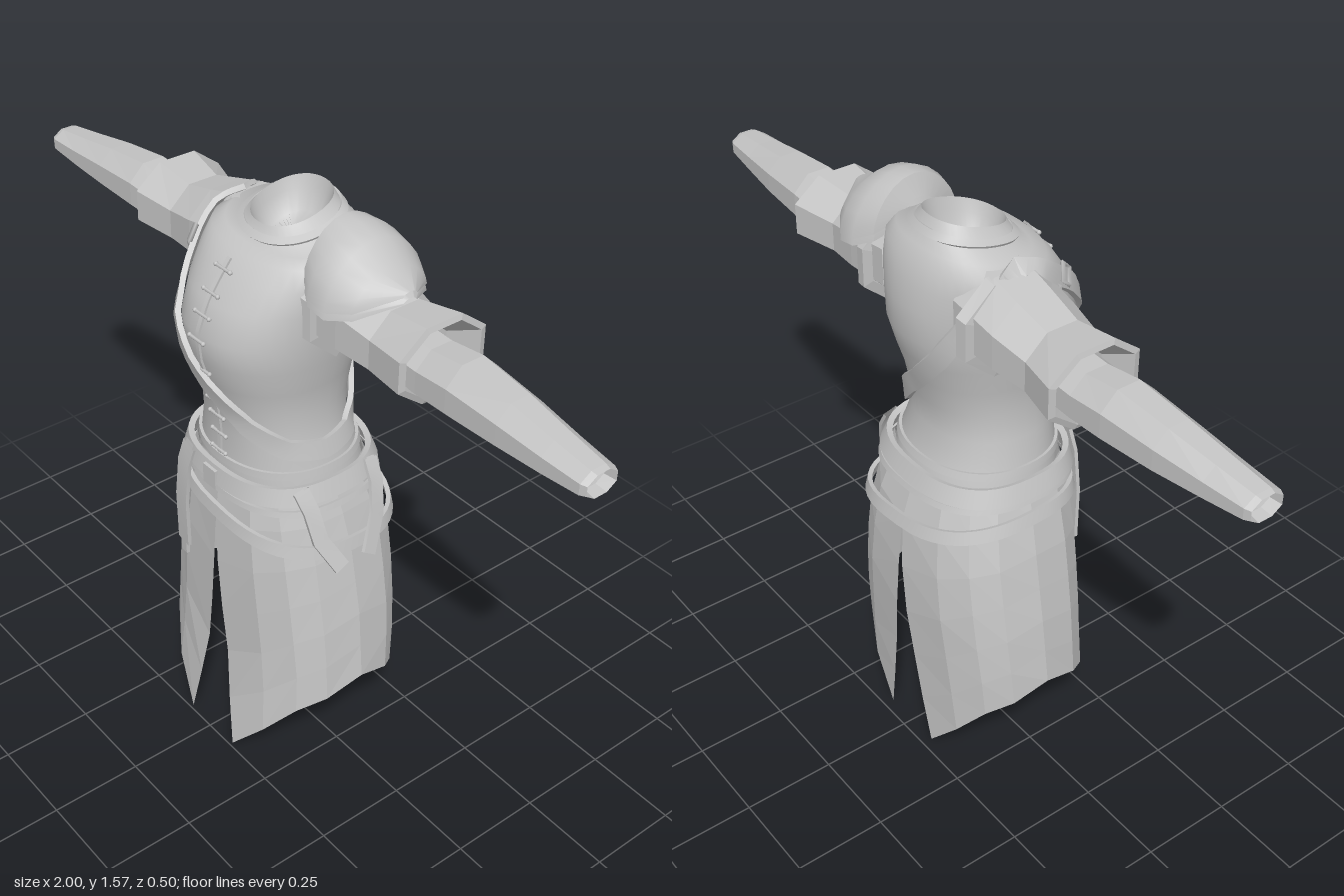
import * as THREE from 'three';
import { toCreasedNormals } from 'three/addons/utils/BufferGeometryUtils.js';

const grey = new THREE.MeshStandardMaterial({ color: 0xc4c4c4, side: THREE.DoubleSide });
grey.name = 'grey cloth';

const range = (n, a = 0, b = 1) => Array.from({ length: n + 1 }, (_, i) => a + (b - a) * i / n);

// Piecewise linear lookup in rows of [key, ...values]
function lookup(rows, k) {
  let i = 0;
  while (i < rows.length - 2 && k > rows[i + 1][0]) i++;
  const t = THREE.MathUtils.clamp((k - rows[i][0]) / (rows[i + 1][0] - rows[i][0]), 0, 1);
  return rows[i].slice(1).map((v, j) => v + (rows[i + 1][j + 1] - v) * t);
}

// Grid surface through point(u, v); crease is the smoothing angle, 0 for flat facets
function sheet(name, us, vs, point, crease = 0) {
  const pos = [], idx = [], n = vs.length;
  us.forEach(u => vs.forEach(v => pos.push(...point(u, v).toArray())));
  for (let i = 0; i < us.length - 1; i++) for (let j = 0; j < n - 1; j++) {
    const a = i * n + j;
    idx.push(a, a + 1, a + n, a + 1, a + n + 1, a + n);
  }
  const g = new THREE.BufferGeometry();
  g.setAttribute('position', new THREE.Float32BufferAttribute(pos, 3));
  g.setIndex(idx);
  return part(name, crease ? toCreasedNormals(g, crease) : flat(g));
}
function flat(g) {
  const f = g.toNonIndexed();
  f.computeVertexNormals();
  return f;
}
function part(name, geometry) {
  const m = new THREE.Mesh(geometry, grey);
  m.name = name;
  return m;
}

// Body sections: height, half width, front z, back z
const TORSO = [
  [0.86, 0.21, 0.19, -0.19], [0.92, 0.2, 0.188, -0.175], [1.0, 0.18, 0.185, -0.145],
  [1.08, 0.172, 0.195, -0.155], [1.15, 0.18, 0.216, -0.17], [1.22, 0.193, 0.237, -0.193],
  [1.29, 0.2, 0.244, -0.213], [1.37, 0.207, 0.213, -0.212], [1.43, 0.215, 0.17, -0.203],
  [1.48, 0.212, 0.13, -0.188], [1.51, 0.18, 0.1, -0.168], [1.535, 0.12, 0.08, -0.148],
  [1.575, 0.088, 0.065, -0.13]];
const SKIRT = [
  [0, 0.325, 0.245, -0.225], [0.3, 0.33, 0.212, -0.235], [0.5, 0.307, 0.213, -0.245],
  [0.72, 0.265, 0.212, -0.238], [0.84, 0.228, 0.198, -0.2], [0.9, 0.205, 0.188, -0.178]];

// Superellipse section; angle 0 is the front, +90 degrees the left side
function around(rows, n, th, y) {
  const [a, f, b] = lookup(rows, y), c = (f + b) / 2, d = (f - b) / 2;
  const p = v => Math.sign(v) * Math.abs(v) ** (2 / n);
  return new THREE.Vector3(a * p(Math.sin(th)), y, c + d * p(Math.cos(th)));
}
function torso(th, y) {
  const p = around(TORSO, 2.2, th, y);
  p.y -= (p.z + 0.13) * 0.25 * THREE.MathUtils.smoothstep(y, 1.46, 1.57); // collar dips in front
  return p;
}
const hips = (th, y) => around(SKIRT, 2.6, th, y);
function normalOf(surf, th, y) {
  const e = 0.02;
  const du = surf(th + e, y).sub(surf(th - e, y)), dv = surf(th, y + e).sub(surf(th, y - e));
  return du.cross(dv).normalize();
}

// Rectangular strap swept through points with outward normals
function strap(name, pts, normals, width, thick, closed = false) {
  const last = pts.length - 1;
  const corners = [[-1, 0], [-1, 1], [1, 1], [1, 0], [-1, 0]];
  const frames = pts.map((p, i) => {
    const next = pts[closed && i === last ? 1 : Math.min(i + 1, last)];
    const prev = pts[closed && i === 0 ? last - 1 : Math.max(i - 1, 0)];
    return next.clone().sub(prev).cross(normals[i]).normalize();
  });
  return sheet(name, range(last, 0, last), corners, (i, [s, h]) =>
    pts[i].clone().addScaledVector(frames[i], s * width / 2).addScaledVector(normals[i], h * thick), 0.6);
}
function loop(name, surf, height, width, thick, lift, n = 48) {
  const ths = range(n, -Math.PI, Math.PI);
  const ns = ths.map(t => normalOf(surf, t, height(t)));
  const pts = ths.map((t, i) => surf(t, height(t)).addScaledVector(ns[i], lift));
  return strap(name, pts, ns, width, thick, true);
}

// Eight-sided tube along x: rows of x, centre y, radius y, centre z, radius z
const limb = (name, rows) => sheet(name, rows, range(8, Math.PI / 8, -Math.PI * 15 / 8),
  ([x, cy, ry, cz, rz], t) => new THREE.Vector3(x, cy + Math.sin(t) * ry * 1.06, cz + Math.cos(t) * rz * 1.06));

function skirtPanel(name) {
  const hem = [[0, 0.01], [0.13, 0.12], [0.26, 0.22], [0.38, 0.262], [0.5, 0.3]];
  return sheet(name, [0, 0.13, 0.26, 0.38, 0.5, 0.62, 0.74, 0.87, 1], range(6), (s, v) => {
    const y = THREE.MathUtils.lerp(0.89, lookup(hem, Math.min(s, 1 - s))[0], v);
    const gap = 0.092 * THREE.MathUtils.clamp((0.75 - y) / 0.74, 0, 1) ** 1.6;
    const th0 = Math.asin((gap / lookup(SKIRT, y)[0]) ** 1.3);
    return hips(th0 + s * (Math.PI - 2 * th0), y);
  });
}

export function createModel() {
  const model = new THREE.Group();
  model.name = 'leather outfit';
  const add = (...m) => model.add(...m);

  // Bodice, collar and the closed lining inside the neck
  const heights = TORSO.map(r => r[0]), circle = range(40, -Math.PI, Math.PI);
  add(sheet('bodice', heights, circle, (y, t) => torso(t, y), 1));
  add(sheet('neckLining', [[0, 0], [0.1, 0.03], [0.35, 0.08], [1, 0.1]], circle, ([shrink, drop], t) => {
    const p = torso(t, 1.575);
    return new THREE.Vector3(p.x * (1 - shrink), p.y - drop, THREE.MathUtils.lerp(p.z, -0.035, shrink));
  }, 1));
  add(loop('collarTrim', torso, () => 1.54, 0.02, 0.007, 0));
  add(loop('bodiceHem', torso, () => 0.92, 0.02, 0.008, 0));

  // Front lacing
  const seam = range(20, 0.93, 1.46);
  add(strap('lacingPlacket', seam.map(y => torso(0, y)), seam.map(y => normalOf(torso, 0, y)), 0.012, 0.006));
  for (const y of [0.94, 0.99, 1.045, 1.09, 1.19, 1.28, 1.34, 1.39, 1.44]) {
    const lace = part('lace', new THREE.CylinderGeometry(0.0045, 0.0045, 0.054, 6));
    lace.position.copy(torso(0, y)).z += 0.006;
    lace.rotation.z = Math.PI / 2;
    add(lace);
    for (const s of [-1, 1]) {
      const stud = part('laceEyelet', new THREE.SphereGeometry(0.006, 8, 6));
      stud.position.copy(lace.position).x += s * 0.027;
      add(stud);
    }
  }

  // Strap from the right shoulder to the left hip and round the back
  const path = [[-180, 1.15], [-150, 1.27], [-125, 1.4], [-105, 1.475], [-90, 1.495], [-75, 1.48], [-55, 1.41],
    [-30, 1.29], [0, 1.15], [30, 1.055], [60, 0.995], [90, 0.975], [120, 0.985], [150, 1.05], [180, 1.15]];
  add(loop('chestStrap', torso, t => lookup(path, THREE.MathUtils.radToDeg(t))[0], 0.05, 0.014, 0.003, 60));
  const buckle = part('strapBuckle', new THREE.TorusGeometry(0.03, 0.007, 4, 4));
  const out = normalOf(torso, -0.95, 1.42);
  buckle.position.copy(torso(-0.95, 1.42)).addScaledVector(out, 0.02);
  buckle.lookAt(buckle.position.clone().add(out));
  add(buckle);

  // Sleeves, cuffs and skirt panels on both sides
  for (const side of [1, -1]) {
    const half = new THREE.Group();
    half.name = side > 0 ? 'leftSide' : 'rightSide';
    half.scale.x = side;
    half.add(
      limb('upperSleeve', [[0.14, 1.385, 0.12, -0.05, 0.12], [0.2, 1.38, 0.118, -0.05, 0.122],
        [0.28, 1.367, 0.107, -0.05, 0.118],
        [0.38, 1.352, 0.093, -0.05, 0.104], [0.5, 1.36, 0.1, -0.057, 0.13],
        [0.505, 1.36, 0.087, -0.057, 0.113], [0.43, 1.34, 0.07, -0.055, 0.08]]),
      limb('armholeTrim', [[0.18, 1.37, 0.1, -0.052, 0.12], [0.185, 1.37, 0.126, -0.052, 0.145],
        [0.215, 1.365, 0.123, -0.052, 0.14], [0.22, 1.365, 0.1, -0.052, 0.11]]),
      limb('lowerSleeve', [[0.4, 1.335, 0.07, -0.052, 0.075], [0.5, 1.33, 0.07, -0.052, 0.075],
        [0.6, 1.337, 0.076, -0.05, 0.078], [0.75, 1.333, 0.064, -0.045, 0.07],
        [0.88, 1.33, 0.048, -0.038, 0.06], [0.985, 1.33, 0.034, -0.033, 0.052],
        [1, 1.33, 0.03, -0.033, 0.045], [0.97, 1.33, 0.025, -0.033, 0.04]]),
      skirtPanel('skirtPanel'));
    add(half);
  }

  // Left shoulder guard: rows of x, top, bottom, half depth
  const guard = [[0.15, 1.53, 1.49, 0.05], [0.17, 1.583, 1.46, 0.12], [0.22, 1.58, 1.435, 0.148],
    [0.275, 1.562, 1.425, 0.146], [0.33, 1.515, 1.435, 0.11], [0.395, 1.485, 1.475, 0.02]];
  const dome = drop => ([x, top, bottom, d], t) => new THREE.Vector3(
    x, bottom + (top - bottom) * Math.max(Math.cos(t), 0) ** 1.25 - drop, -0.05 + d * Math.sin(t));
  const arch = range(12, -Math.PI / 2, Math.PI / 2);
  add(sheet('shoulderGuard', guard, arch, dome(0), 0.7), sheet('shoulderGuardLining', guard, arch, dome(0.018), 0.7));

  // Belts
  add(loop('upperBelt', hips, () => 0.875, 0.05, 0.016, 0.008));
  add(loop('upperBeltEdge', hips, t => 0.838 - 0.008 * Math.sin(t), 0.016, 0.01, 0.008));
  add(loop('lowerBelt', hips, t => 0.757 - 0.042 * Math.sin(t) + 0.012 * Math.cos(t), 0.035, 0.012, 0.003));
  const clasp = part('beltClasp', new THREE.BoxGeometry(0.05, 0.055, 0.02));
  clasp.position.set(-0.005, 0.865, 0.212);
  add(clasp);

  // Hanging belt tails
  const tail = (name, pts, n, width) => {
    const v = pts.map(p => new THREE.Vector3(...p));
    add(strap(name, v, v.map(() => new THREE.Vector3(...n).normalize()), width, 0.01));
  };
  tail('frontTail', [[-0.105, 0.9, 0.202], [-0.12, 0.84, 0.21], [-0.133, 0.72, 0.213], [-0.138, 0.57, 0.207]],
    [-0.1, 0, 1], 0.05);
  tail('frontTailTip', [[-0.138, 0.57, 0.207], [-0.138, 0.535, 0.206]], [-0.1, 0, 1], 0.026);
  tail('sideTailFront', [[0.215, 0.9, 0.11], [0.243, 0.85, 0.1], [0.268, 0.77, 0.09], [0.305, 0.69, 0.05]],
    [1, 0.3, 0.15], 0.042);
  tail('sideTailBack', [[0.21, 0.9, -0.11], [0.243, 0.85, -0.105], [0.268, 0.77, -0.09], [0.305, 0.69, -0.035]],
    [1, 0.3, -0.15], 0.042);
  return model;
}
